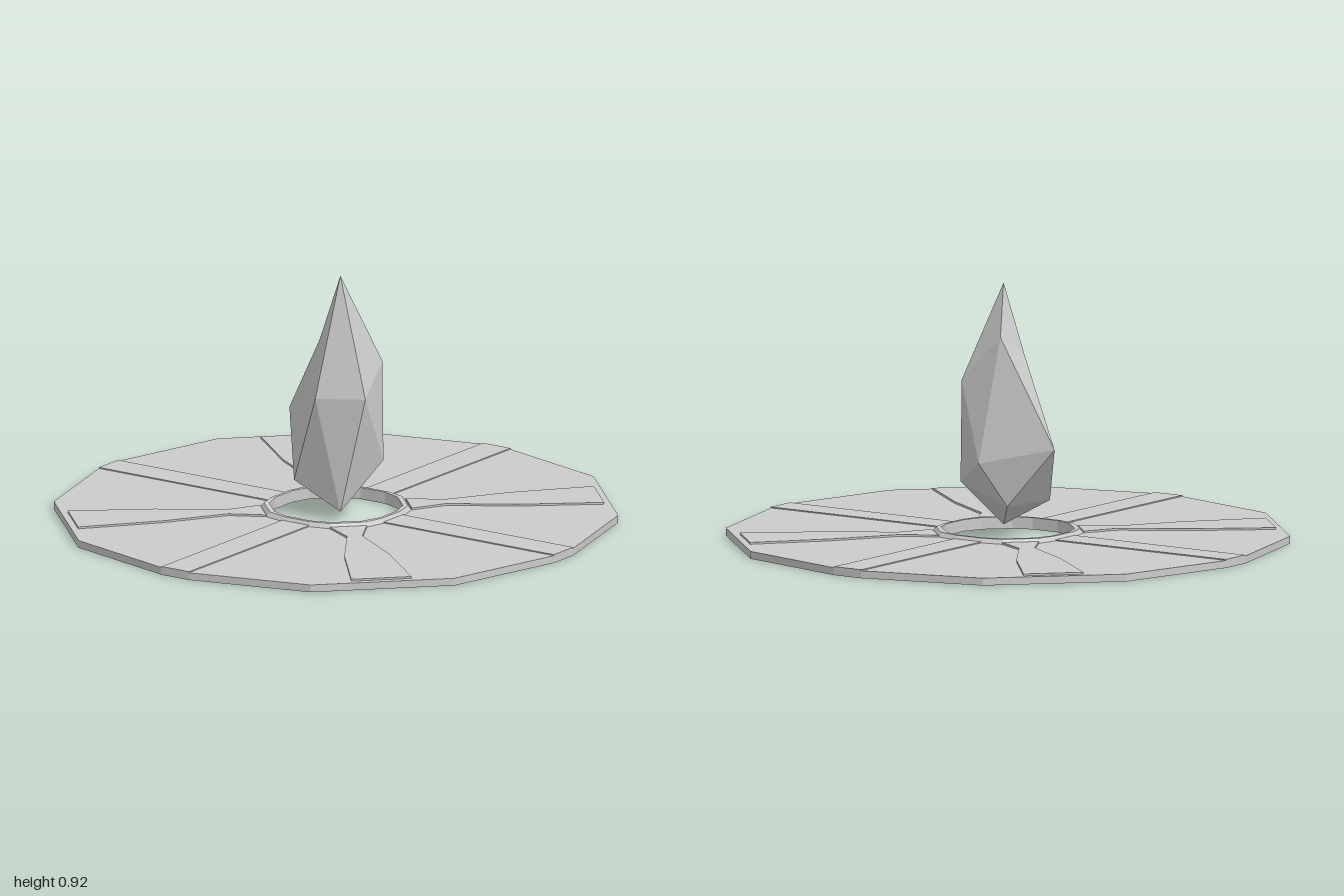
import * as THREE from 'three';

const mat = new THREE.MeshStandardMaterial({ color: 0xcccccc, flatShading: true });

function mesh(name, geo) {
  const m = new THREE.Mesh(geo, mat);
  m.name = name;
  return m;
}

// Mirror one octant edge pair into a closed 16-point outline
function outline(a, b) {
  const quad = [[a[0], a[1]], [b[0], b[1]], [b[1], b[0]], [a[1], a[0]]];
  const pts = [];
  for (let i = 0; i < 4; i++) {
    const c = [1, 0, -1, 0][i], s = [0, 1, 0, -1][i];
    quad.forEach(([x, y]) => pts.push(new THREE.Vector2(c * x - s * y, s * x + c * y)));
  }
  return pts;
}

// Flat plate lying on the ground plane, from y0 up to y1
function plate(points, y0, y1, hole) {
  const shape = new THREE.Shape(points);
  if (hole) shape.holes.push(new THREE.Path(hole));
  const g = new THREE.ExtrudeGeometry(shape, { depth: y1 - y0, bevelEnabled: false });
  return g.rotateX(-Math.PI / 2).translate(0, y0, 0);
}

// Skin between successive closed loops [outline, height]
function loops(rows) {
  const pos = [];
  const put = ([pts, y], k) => {
    const p = pts[k % pts.length];
    pos.push(p.x, y, -p.y);
  };
  for (let r = 0; r + 1 < rows.length; r++) {
    const a = rows[r], b = rows[r + 1];
    for (let k = 0; k < a[0].length; k++) {
      put(a, k); put(a, k + 1); put(b, k + 1);
      put(a, k); put(b, k + 1); put(b, k);
    }
  }
  const g = new THREE.BufferGeometry();
  g.setAttribute('position', new THREE.Float32BufferAttribute(pos, 3));
  g.computeVertexNormals();
  return g;
}

// Irregular faceted crystal: named corners joined by triangles
function crystalGeometry() {
  const v = {
    T: [0.065, 0.92, 0.065], B: [0.065, 0.04, 0.065],
    Q: [-0.025, 0.67, 0.065], R: [-0.03, 0.75, -0.09],
    L: [-0.24, 0.355, -0.05], F: [0.02, 0.475, 0.157],
    E: [0.175, 0.475, 0.065], S: [0.14, 0.58, -0.09],
    K: [0.02, 0.295, -0.155], D: [0.145, 0.21, -0.09],
    G: [-0.11, 0.14, 0.105], P: [-0.06, 0.137, -0.09],
  };
  const faces = 'TFQ TFE TES TSR TRQ QRL QLG QGF LGP GBP RSK RKL KLP SDK KDP DPB ESD EDB EFB FGB';
  const centre = new THREE.Vector3(0.02, 0.4, 0);
  const pos = [];
  for (const f of faces.split(' ')) {
    let [a, b, c] = [...f].map((k) => new THREE.Vector3(...v[k]));
    const n = b.clone().sub(a).cross(c.clone().sub(a));
    if (n.dot(a.clone().sub(centre)) < 0) [b, c] = [c, b];
    for (const p of [a, b, c]) pos.push(p.x, p.y, p.z);
  }
  const g = new THREE.BufferGeometry();
  g.setAttribute('position', new THREE.Float32BufferAttribute(pos, 3));
  g.computeVertexNormals();
  return g;
}

export function createModel() {
  const group = new THREE.Group();
  const hole = outline([0.23, 0.055], [0.205, 0.125]);
  const top = 0.027;

  // Round base with a central opening
  group.add(mesh('base', plate(outline([1, 0.06], [0.88, 0.51]), 0, top, hole)));

  // Raised collar around the opening
  group.add(mesh('collar', loops([
    [outline([0.255, 0.06], [0.235, 0.14]), top - 0.002],
    [outline([0.243, 0.058], [0.222, 0.134]), 0.043],
    [hole, 0.043],
    [hole, top - 0.002],
  ])));

  // Four straight strips and four flared diagonal panels
  const half = [[0.235, 0.14], [0.3, 0.26], [0.515, 0.4], [0.755, 0.6]];
  const panel = [...half, ...half.map(([x, y]) => [y, x]).reverse()]
    .map(([x, y]) => new THREE.Vector2(x, y));
  const strip = [[0.245, -0.06], [1, -0.06], [1, 0.06], [0.245, 0.06]]
    .map(([x, y]) => new THREE.Vector2(x, y));
  for (let i = 0; i < 4; i++) {
    const s = mesh('strip', plate(strip, top - 0.002, 0.031));
    const p = mesh('diagonalPanel', plate(panel, top - 0.002, 0.034));
    s.rotation.y = p.rotation.y = i * Math.PI / 2;
    group.add(s, p);
  }

  // Crystal hovering over the opening
  group.add(mesh('crystal', crystalGeometry()));
  return group;
}
